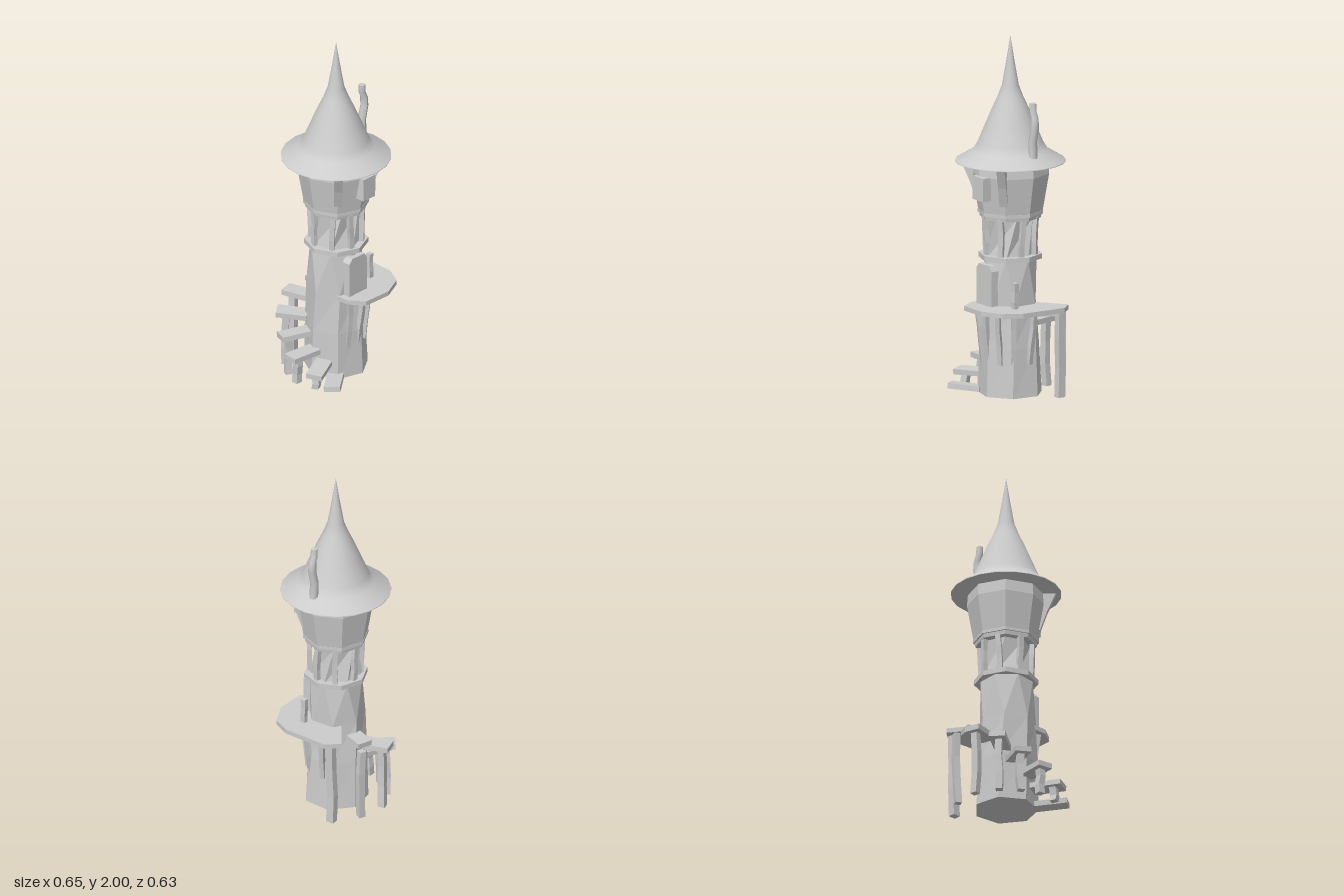
import * as THREE from 'three';

const CX = 0.015, CZ = 0.013; // tower axis
const rad = THREE.MathUtils.degToRad;
const flat = new THREE.MeshStandardMaterial({ color: 0xcccccc, flatShading: true, side: THREE.DoubleSide });
const smooth = new THREE.MeshStandardMaterial({ color: 0xcccccc, side: THREE.DoubleSide });

// point at angle a (degrees, 0 = +x, 90 = +z) and radius r from the tower axis
const polar = (a, r, y) => new THREE.Vector3(CX + Math.cos(rad(a)) * r, y, CZ + Math.sin(rad(a)) * r);
const shapeOf = (points) => new THREE.Shape(points.map(([x, y]) => new THREE.Vector2(x, y)));

export function createModel() {
  const model = new THREE.Group();
  model.name = 'crookedTower';

  const add = (name, geometry, material = flat) => {
    const mesh = new THREE.Mesh(geometry, material);
    mesh.name = name;
    model.add(mesh);
    return mesh;
  };

  // crooked wooden beam between two points, one side facing angle a
  let bendSeed = 1;
  const beam = (name, p, q, w, d, a, bend = 0.005) => {
    const len = p.distanceTo(q);
    const geo = new THREE.BoxGeometry(w, len, d, 1, 3, 1);
    const pos = geo.attributes.position;
    bendSeed += 1.7;
    for (let i = 0; i < pos.count; i++) {
      const t = Math.round((pos.getY(i) / len + 0.5) * 3);
      pos.setX(i, pos.getX(i) + Math.sin(bendSeed + t * 2) * bend);
      pos.setZ(i, pos.getZ(i) + Math.cos(bendSeed * 1.3 + t * 2) * bend * 0.5);
    }
    const y = q.clone().sub(p).normalize();
    const out = new THREE.Vector3(Math.cos(rad(a)), 0, Math.sin(rad(a)));
    const x = new THREE.Vector3().crossVectors(y, out).normalize();
    const z = new THREE.Vector3().crossVectors(x, y);
    const mesh = add(name, geo);
    mesh.setRotationFromMatrix(new THREE.Matrix4().makeBasis(x, y, z));
    mesh.position.copy(p).add(q).multiplyScalar(0.5);
  };

  // octagonal prism around the axis, vertices on the axes
  const octagon = (name, rTop, rBottom, y0, y1) => {
    const mesh = add(name, new THREE.CylinderGeometry(rTop, rBottom, y1 - y0, 8));
    mesh.position.set(CX, (y0 + y1) / 2, CZ);
  };

  // twisted seven-sided trunk: y, centre x, radius, twist
  const sections = [
    [0.01, 0.016, 0.178, -7], [0.28, 0.01, 0.168, -9], [0.52, 0.006, 0.157, -14],
    [0.77, 0.01, 0.146, 6], [1.0, CX, 0.132, -18],
  ];
  const trunk = new THREE.CylinderGeometry(1, 1, 1, 7, sections.length - 1);
  const tp = trunk.attributes.position;
  for (let i = 0; i < tp.count; i++) {
    const s = sections[Math.round((tp.getY(i) + 0.5) * (sections.length - 1))];
    const r = Math.hypot(tp.getX(i), tp.getZ(i)) * s[2];
    const a = Math.atan2(tp.getZ(i), tp.getX(i)) + rad(s[3]);
    tp.setXYZ(i, s[1] + Math.cos(a) * r, s[0], CZ + Math.sin(a) * r);
  }
  add('trunk', trunk);

  // ring mouldings
  octagon('lowerRing', 0.175, 0.175, 0.762, 0.79);
  octagon('upperRing', 0.172, 0.168, 0.99, 1.015);
  octagon('roomSill', 0.18, 0.18, 1.012, 1.03);

  // posts between the rings
  for (let i = 0; i < 8; i++) {
    const a = i * 45 + 12;
    beam('galleryPost', polar(a, 0.14, 0.78), polar(a + (i % 3 - 1) * 4, 0.146, 1.0), 0.028, 0.026, a, 0.003);
  }

  // upper room, widest just under the eaves
  octagon('roomWall', 0.213, 0.178, 1.03, 1.235);
  octagon('roomWallTop', 0.207, 0.213, 1.235, 1.31);

  // triangular eave brackets on both sides of the front
  for (const a of [48, 134]) {
    const bracket = new THREE.ExtrudeGeometry(
      shapeOf([[0.15, 1.08], [0.185, 1.08], [0.222, 1.19], [0.272, 1.303], [0.15, 1.303]]),
      { depth: 0.045, bevelEnabled: false });
    bracket.translate(0, 0, -0.0225);
    const mesh = add('eaveBracket', bracket);
    mesh.position.set(CX, 0, CZ);
    mesh.rotation.y = -rad(a);
  }

  // front window with shutter
  const shutter = add('window', new THREE.BoxGeometry(0.095, 0.13, 0.055));
  shutter.position.set(0.032, 1.175, 0.217);
  shutter.rotation.z = -0.03;

  // roof with flared eave
  const roofProfile = [[0.302, 1.3], [0.302, 1.306], [0.208, 1.362], [0.18, 1.405],
    [0.138, 1.505], [0.1, 1.595], [0.07, 1.66], [0.046, 1.722], [0.022, 1.86], [0, 2.0]]
    .map(([r, y]) => new THREE.Vector2(r, y));
  add('roof', new THREE.LatheGeometry(roofProfile, 20), smooth).position.set(CX, 0, CZ);
  const underside = add('eaveUnderside', new THREE.CircleGeometry(0.302, 20, Math.PI / 2));
  underside.rotation.x = Math.PI / 2;
  underside.position.set(CX, 1.3, CZ);

  // crooked chimney pipe, thinner towards the top
  const chimneyPath = [[0.224, 1.35], [0.22, 1.44], [0.241, 1.52], [0.238, 1.575], [0.222, 1.61], [0.222, 1.655]];
  const chimney = new THREE.CylinderGeometry(0.018, 0.025, 1, 10, chimneyPath.length - 1);
  const cp = chimney.attributes.position;
  for (let i = 0; i < cp.count; i++) {
    const [x, y] = chimneyPath[Math.round((cp.getY(i) + 0.5) * (chimneyPath.length - 1))];
    cp.setXYZ(i, x + cp.getX(i), y, 0.013 + cp.getZ(i));
  }
  chimney.computeVertexNormals();
  add('chimney', chimney, smooth);

  // balcony slab wrapping the front and left side
  const deck = shapeOf([[-0.1, 0.1], [-0.098, 0.2], [-0.04, 0.285], [0.13, 0.295], [0.255, 0.24],
    [0.31, 0.14], [0.325, -0.125], [0.265, -0.197], [0.11, -0.09], [0.05, 0.05]]);
  const deckGeo = new THREE.ExtrudeGeometry(deck, { depth: 0.026, bevelEnabled: false });
  deckGeo.rotateX(Math.PI / 2);
  add('balcony', deckGeo).position.y = 0.516;

  // balcony supports, their feet sunk into the trunk
  for (const a of [-8, 30, 58, 85, 112]) {
    beam('balconyStrut', polar(a, 0.15, 0.19), polar(a, 0.187, 0.495), 0.026, 0.026, a, 0.003);
  }
  beam('balconyPost', new THREE.Vector3(0.267, 0.01, -0.135), new THREE.Vector3(0.275, 0.495, -0.135), 0.045, 0.04, 0, 0.004);
  beam('newelPost', new THREE.Vector3(0.14, 0.01, -0.235), new THREE.Vector3(0.143, 0.425, -0.243), 0.036, 0.036, -65);
  beam('railPost', new THREE.Vector3(0.182, 0.5, 0.105), new THREE.Vector3(0.186, 0.66, 0.105), 0.028, 0.028, 0, 0.003);

  // front door with clipped top corners
  const door = shapeOf([[-0.068, 0], [0.07, 0], [0.07, 0.2], [0.052, 0.23], [-0.045, 0.232], [-0.068, 0.205]]);
  add('door', new THREE.ExtrudeGeometry(door, { depth: 0.05, bevelEnabled: false })).position.set(0.005, 0.51, 0.135);

  // winding stairs: angle, height, centre radius, tread length
  const steps = [[-74, 0.44, 0.2, 0.11], [-100, 0.38, 0.24, 0.17], [-128, 0.315, 0.24, 0.17], [-152, 0.238, 0.235, 0.18],
    [-176, 0.163, 0.25, 0.18], [-201, 0.1, 0.25, 0.18], [-220, 0.03, 0.25, 0.18]];
  steps.forEach(([a, y, r, length], i) => {
    const tread = add('stairTread', new THREE.BoxGeometry(length, 0.03, 0.09));
    tread.position.copy(polar(a, r, y));
    tread.rotation.set(((i % 3) - 1) * 0.08, -rad(a) + ((i % 2) - 0.5) * 0.12, 0);
    if (i > 0 && i < 6) beam('stairPost', polar(a, r + 0.04, 0.005), polar(a, r + 0.035, y), 0.038, 0.038, a);
  });

  return model;
}
